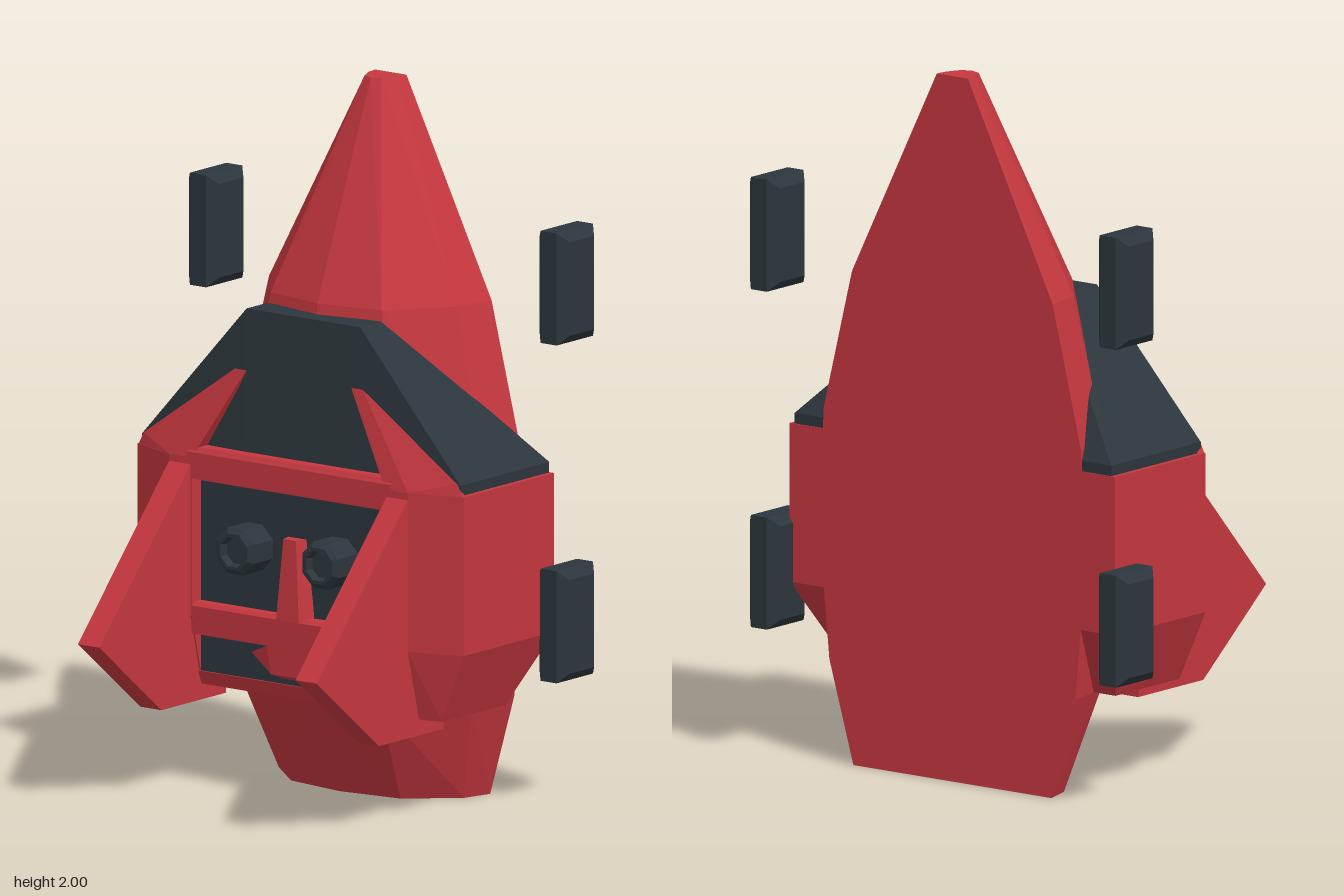
import * as THREE from 'three';
import { ConvexGeometry } from 'three/addons/geometries/ConvexGeometry.js';

export function createModel() {
  const model = new THREE.Group();
  const red = new THREE.MeshStandardMaterial({ color: 0xc5373f });
  red.name = 'red';
  const dark = new THREE.MeshStandardMaterial({ color: 0x2c363c });
  dark.name = 'charcoal';

  const add = (name, geometry, material, x = 0, y = 0, z = 0) => {
    const mesh = new THREE.Mesh(geometry, material);
    mesh.name = name;
    mesh.position.set(x, y, z);
    model.add(mesh);
    return mesh;
  };
  // Faceted solid around a few corner points
  const solid = (points) => new ConvexGeometry(points.map((p) => new THREE.Vector3(...p)));
  // Adds the mirror image of each point across x = 0
  const mirrored = (points) => points.flatMap(([x, y, z]) => [[x, y, z], [-x, y, z]]);
  // Box given by its limits
  const block = (name, material, x0, x1, y0, y1, z0, z1) =>
    add(name, new THREE.BoxGeometry(x1 - x0, y1 - y0, z1 - z0), material,
      (x0 + x1) / 2, (y0 + y1) / 2, (z0 + z1) / 2);

  // Half-round hull with a flat back: height, half width, depth
  const back = -0.39;
  const rings = [
    [0, 0.35, 0.23], [0.29, 0.435, 0.4], [0.65, 0.47, 0.4],
    [1.0, 0.455, 0.375], [1.4, 0.355, 0.33], [2, 0.055, 0.09],
  ];
  const section = [[1, 0], [0.93, 0.38], [0.55, 0.88], [0, 1]];
  add('hull', solid(rings.flatMap(([y, w, d]) =>
    mirrored(section.map(([u, v]) => [u * w, y, back + v * d])))), red);

  // Dark sloping collar
  add('collar', solid(mirrored([
    [0.56, 0.94, 0.012], [0.56, 0.97, 0.012], [0.2, 0.94, 0.03],
    [0.2, 1.37, 0.003], [0.2, 1.37, -0.09], [0.42, 1.11, -0.3],
    [0.56, 0.97, -0.387], [0.56, 0.94, -0.387],
  ])), dark);

  // Core behind the face
  block('core', red, -0.36, 0.36, 0.29, 0.94, -0.3, 0.01);
  block('facePlate', dark, -0.35, 0.35, 0.33, 0.9, 0, 0.03);

  // Frame bars across the face
  add('upperBar', solid(mirrored([
    [0.36, 0.88, 0.07], [0.36, 0.955, 0.07], [0.36, 0.97, 0.06],
    [0.36, 0.97, 0], [0.36, 0.88, 0],
  ])), red);
  add('middleBar', solid(mirrored([
    [0.36, 0.44, 0.065], [0.36, 0.52, 0.07], [0.36, 0.53, 0.06],
    [0.36, 0.53, 0], [0.36, 0.44, 0],
  ])), red);
  add('lowerSill', solid(mirrored([
    [0.36, 0.29, 0.02], [0.36, 0.33, 0.035], [0.36, 0.33, -0.02], [0.36, 0.29, -0.02],
  ])), red);

  // Nose and lip
  add('nose', solid(mirrored([
    [0.065, 0.52, 0.02], [0.04, 0.52, 0.075], [0.022, 0.75, 0.065], [0.035, 0.75, 0.02],
  ])), red);
  add('lip', solid(mirrored([
    [0.08, 0.44, 0.065], [0.15, 0.41, 0.045], [0.15, 0.41, 0.02],
    [0.07, 0.36, 0.06], [0.05, 0.345, 0.03],
  ])), red);

  // Side panel, strut and fin profiles
  const panel = [
    ...[0.94, 0.49].flatMap((y) => [
      [0.34, y, back], [0.575, y, back], [0.575, y, 0.015], [0.42, y, 0.07], [0.34, y, 0.07],
    ]),
    [0.34, 0.29, -0.28], [0.49, 0.29, -0.28], [0.49, 0.29, 0.005],
    [0.42, 0.29, 0.02], [0.34, 0.29, 0.02],
  ];
  const strut = [
    [0.34, 0.94, 0.07], [0.42, 0.94, 0.07], [0.575, 0.93, 0.015], [0.55, 0.975, 0.018],
    [0.34, 0.975, 0.06], [0.225, 1.2, 0.024], [0.185, 1.2, 0.024],
    [0.34, 0.94, -0.02], [0.55, 0.95, -0.02], [0.205, 1.18, 0],
  ];
  const finSide = [[0.92, 0.07], [0.47, 0.48], [0.245, 0.2], [0.245, -0.09], [0.32, -0.09]];
  const fin = [0.345, 0.42].flatMap((x) => finSide.map(([y, z]) => [x, y, z]));

  // Wheel: full outline in the middle, bevelled towards both faces
  const wheel = [];
  for (const [x, h, d] of [[0.053, 0.133, 0.055], [0.028, 0.159, 0.082]])
    for (const y of [-h, h]) for (const z of [-d, d]) wheel.push([x, y, z]);
  const wheelGeometry = solid(mirrored(wheel));

  // Octagonal eyes with a stepped, hollow rim
  const eyeProfile = [[0, 0.085], [0.04, 0.085], [0.045, 0.108], [0.055, 0.108], [0.07, 0.095], [0.07, 0]];
  const eyeGeometry = new THREE.LatheGeometry(
    eyeProfile.map(([r, h]) => new THREE.Vector2(r, h)).reverse(), 8, Math.PI / 8)
    .rotateX(Math.PI / 2).toNonIndexed();
  eyeGeometry.computeVertexNormals();

  for (const s of [1, -1]) {
    const side = s > 0 ? 'left' : 'right';
    const flip = (points) => solid(points.map(([x, y, z]) => [s * x, y, z]));
    add(side + 'SidePanel', flip(panel), red);
    add(side + 'Strut', flip(strut), red);
    add(side + 'Fin', flip(fin), red);
    add(side + 'Eye', eyeGeometry, dark, s * 0.15, 0.707, 0.022);
    add(side + 'LowerWheel', wheelGeometry, dark, s * 0.617, 0.525, -0.393);
    add(side + 'UpperWheel', wheelGeometry, dark, s * 0.617, 1.483, -0.393);
  }
  return model;
}
